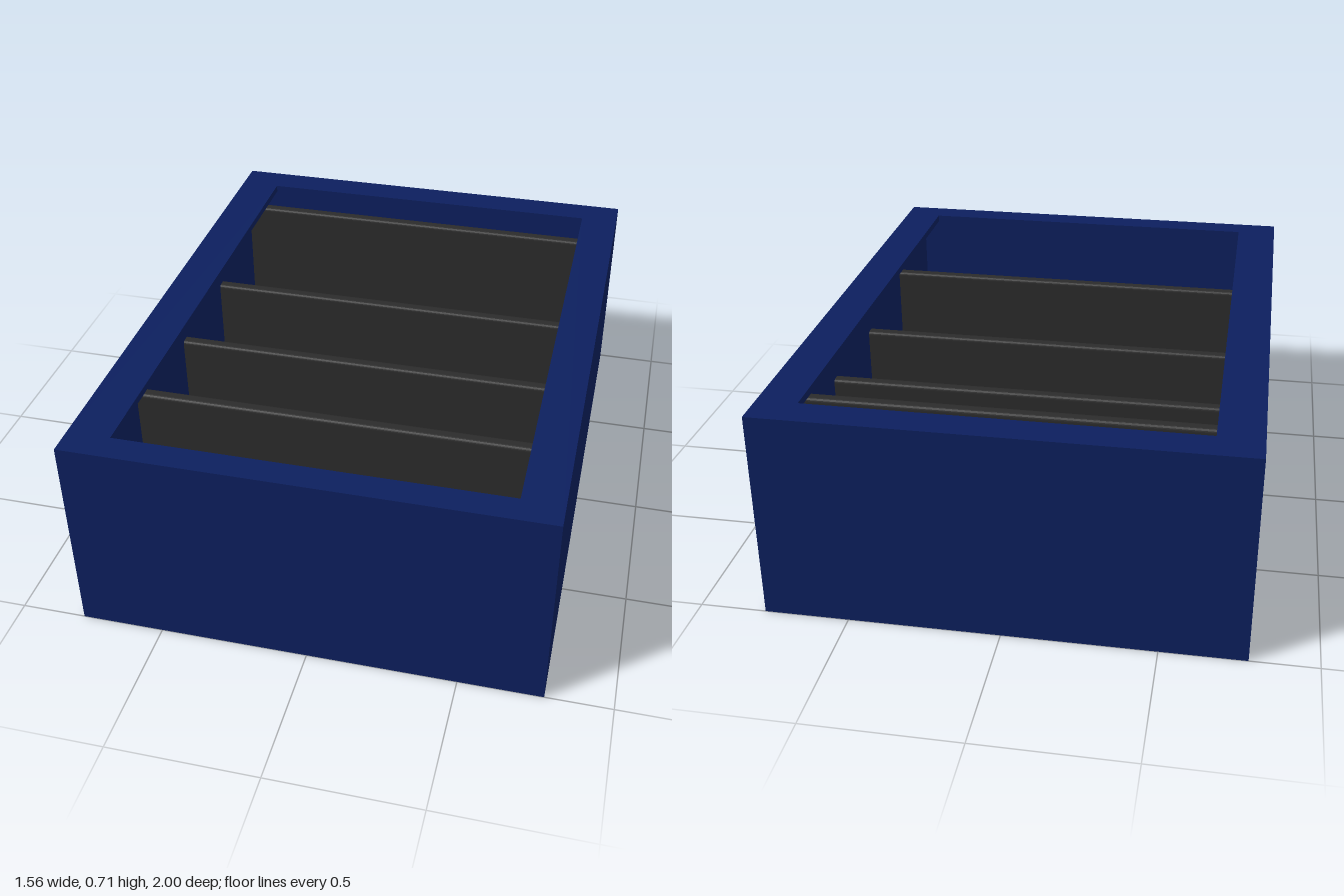
import * as THREE from 'three';

const blue = new THREE.MeshStandardMaterial({ color: 0x0c1f5e });
const dark = new THREE.MeshStandardMaterial({ color: 0x2b2b2b });

const W = 0.78, D = 1, H = 0.715;          // half width, half depth, height
const FLOOR = 0.07, LIP = 0.025;           // floor and overhanging lip thickness
const IN = { x0: -0.71, x1: 0.71, z0: -0.92, z1: 0.92 };          // cavity
const OPENING = { x0: -0.635, x1: 0.645, z0: -0.885, z1: 0.905 }; // rim opening

function add(group, name, geometry, material) {
  const mesh = new THREE.Mesh(geometry, material);
  mesh.name = name;
  group.add(mesh);
  return mesh;
}

// Rectangle path in plan; shape y becomes -z once laid flat
function trace(path, { x0, x1, z0, z1 }) {
  path.moveTo(x0, -z1).lineTo(x1, -z1).lineTo(x1, -z0).lineTo(x0, -z0);
  path.closePath();
  return path;
}

// Rectangular ring with the full outer footprint, from y0 to y1
function ring(hole, y0, y1) {
  const shape = trace(new THREE.Shape(), { x0: -W, x1: W, z0: -D, z1: D });
  shape.holes.push(trace(new THREE.Path(), hole));
  return new THREE.ExtrudeGeometry(shape, { depth: y1 - y0, bevelEnabled: false })
    .rotateX(-Math.PI / 2).translate(0, y0, 0);
}

// Upright panel across the cavity with rounded top edges
function divider(z, top) {
  const t = 0.022, r = 0.014;
  const s = new THREE.Shape();
  s.moveTo(-t, FLOOR).lineTo(t, FLOOR).lineTo(t, top - r);
  s.quadraticCurveTo(t, top, t - r, top);
  s.lineTo(-t + r, top);
  s.quadraticCurveTo(-t, top, -t, top - r);
  s.closePath();
  return new THREE.ExtrudeGeometry(s, { depth: IN.x1 - IN.x0, bevelEnabled: false, curveSegments: 6 })
    .rotateY(Math.PI / 2).translate(IN.x0, 0, z);
}

export function createModel() {
  const model = new THREE.Group();
  model.name = 'dividedBox';

  // Tray body
  add(model, 'walls', ring(IN, 0, H - LIP), blue);
  add(model, 'rimLip', ring(OPENING, H - LIP, H), blue);
  add(model, 'floor', new THREE.BoxGeometry(IN.x1 - IN.x0, FLOOR, IN.z1 - IN.z0), blue)
    .position.y = FLOOR / 2;

  // Dividers: [z, top height], back to front
  const panels = [[-0.763, 0.68], [-0.35, 0.54], [0.067, 0.54], [0.51, 0.61]];
  panels.forEach(([z, top], i) => add(model, `divider${i + 1}`, divider(z, top), dark));

  return model;
}
